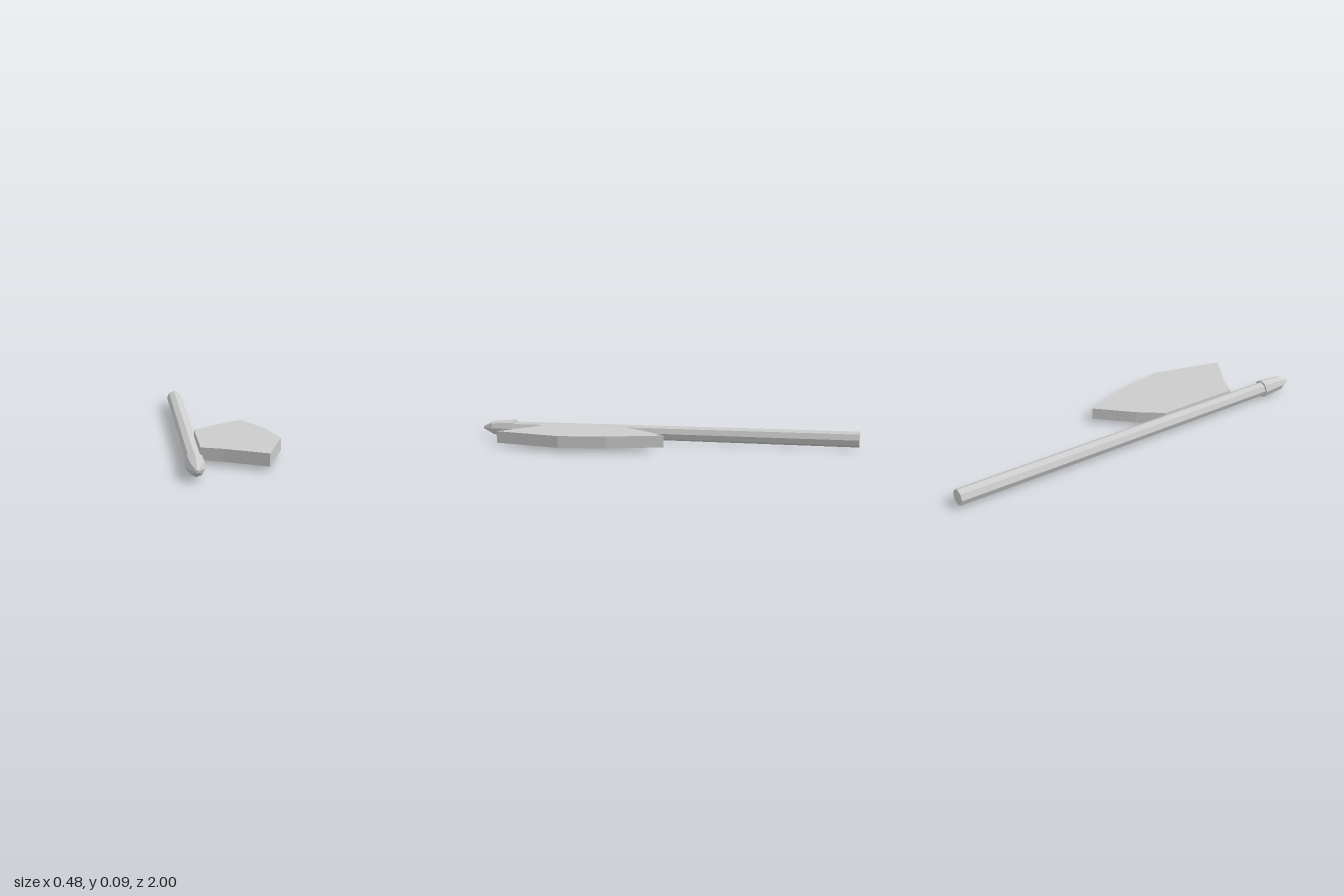
import * as THREE from 'three';

const AXIS_X = -0.193, AXIS_Y = 0.047, SIDES = 8;

export function createModel() {
  const group = new THREE.Group();
  const material = new THREE.MeshStandardMaterial({ color: 0xcccccc, flatShading: true });
  const add = (name, geometry) => {
    const mesh = new THREE.Mesh(geometry, material);
    mesh.name = name;
    group.add(mesh);
  };

  // Octagonal part turned around the shaft axis; profile is [radius, z] from back to front
  const turned = (profile) => new THREE.LatheGeometry(profile.map(([r, z]) => new THREE.Vector2(r, z)), SIDES)
    .rotateX(Math.PI / 2)
    .translate(AXIS_X, AXIS_Y, 0);

  // Long shaft, slightly thicker at the butt
  add('shaft', turned([[0, -1], [0.0405, -1], [0.036, 0.83], [0, 0.83]]));

  // Collared point at the front end
  add('tip', turned([[0, 0.82], [0.0465, 0.82], [0.036, 0.945], [0.007, 1], [0, 1]]));

  // Flat blade beside the shaft, outline in [x, z]
  const outline = [
    [-0.154, 0.64], [-0.055, 0.68], [0.14, 0.8], [0.237, 0.445],
    [0.198, 0.21], [0.1, -0.06], [-0.06, 0.095], [-0.154, 0.21],
  ];
  const shape = new THREE.Shape(outline.map(([x, z]) => new THREE.Vector2(x, -z)));
  add('blade', new THREE.ExtrudeGeometry(shape, { depth: 0.059, bevelEnabled: false })
    .rotateX(-Math.PI / 2)
    .translate(0, 0.018, 0));

  return group;
}
